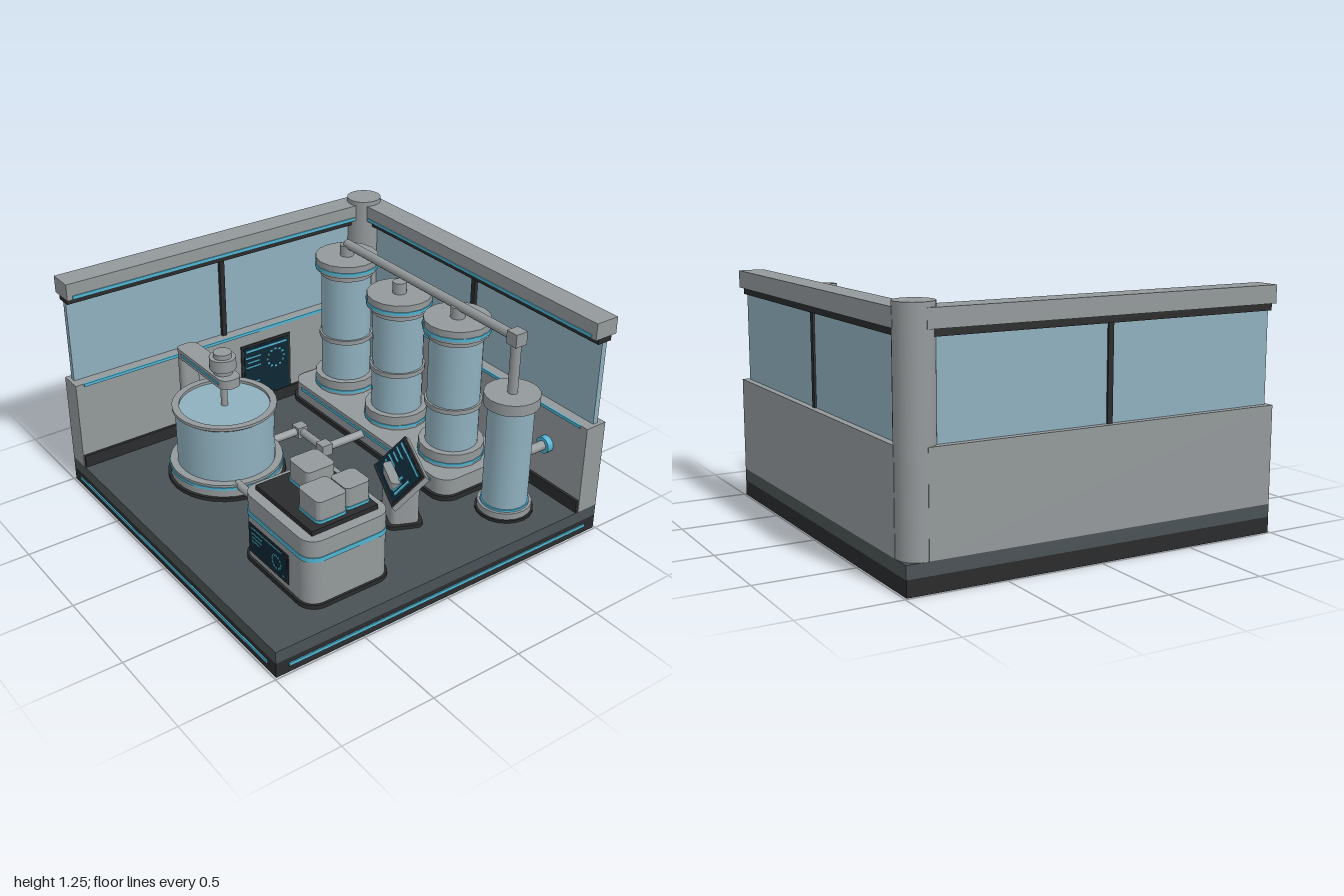
import * as THREE from 'three';
import { toCreasedNormals } from 'three/addons/utils/BufferGeometryUtils.js';

const mat = (name, color, side = THREE.FrontSide) => {
  const m = new THREE.MeshStandardMaterial({ color, side });
  m.name = name;
  return m;
};

export function createModel() {
  const root = new THREE.Group();
  root.name = 'processingRoom';
  const grey = mat('steelGrey', 0x94999b);
  const black = mat('black', 0x2a2b2c);
  const slate = mat('floorSlate', 0x4a5255);
  const cyan = mat('cyanTrim', 0x50b4d2);
  const glass = mat('glassBlue', 0x8fb0be);
  const screenMat = mat('screenNavy', 0x0d2633);

  const group = (name, x = 0, y = 0, z = 0, parent = root) => {
    const g = new THREE.Group();
    g.name = name;
    g.position.set(x, y, z);
    parent.add(g);
    return g;
  };
  const add = (name, geo, m, x, y, z, parent = root) => {
    const mesh = new THREE.Mesh(geo, m);
    mesh.name = name;
    mesh.position.set(x, y, z);
    parent.add(mesh);
    return mesh;
  };
  // box given by its min and max on each axis
  const span = (name, m, x0, x1, y0, y1, z0, z1, parent = root) =>
    add(name, new THREE.BoxGeometry(x1 - x0, y1 - y0, z1 - z0), m, (x0 + x1) / 2, (y0 + y1) / 2, (z0 + z1) / 2, parent);
  // upright cylinder from y0 to y1
  const drum = (name, m, r, y0, y1, parent, x = 0, z = 0, sides = 20) =>
    add(name, new THREE.CylinderGeometry(r, r, y1 - y0, sides), m, x, (y0 + y1) / 2, z, parent);
  // slab with rounded vertical edges
  const slab = (name, m, x, z, w, d, r, y0, y1, parent = root) => {
    const a = w / 2, b = d / 2, s = new THREE.Shape();
    s.absarc(a - r, b - r, r, 0, Math.PI / 2);
    s.absarc(r - a, b - r, r, Math.PI / 2, Math.PI);
    s.absarc(r - a, r - b, r, Math.PI, Math.PI * 1.5);
    s.absarc(a - r, r - b, r, Math.PI * 1.5, Math.PI * 2);
    s.closePath();
    const geo = new THREE.ExtrudeGeometry(s, { depth: y1 - y0, bevelEnabled: false, curveSegments: 6 });
    geo.rotateX(-Math.PI / 2);
    return add(name, toCreasedNormals(geo, 0.6), m, x, y0, z, parent);
  };
  // straight pipe between two points
  const pipe = (name, r, a, b, m = grey) => {
    const p = new THREE.Vector3(...a), q = new THREE.Vector3(...b);
    const mesh = add(name, new THREE.CylinderGeometry(r, r, p.distanceTo(q), 12), m, 0, 0, 0);
    mesh.position.copy(p).add(q).multiplyScalar(0.5);
    mesh.quaternion.setFromUnitVectors(new THREE.Vector3(0, 1, 0), q.sub(p).normalize());
  };
  const elbow = (x, y, z, s = 0.065) => add('pipeElbow', new THREE.BoxGeometry(s, s, s), grey, x, y, z);
  // flat cyan mark on a screen facing +z
  const mark = (g, x, y, w, h) => add('screenMark', new THREE.BoxGeometry(w, h, 0.004), cyan, x, y, 0.006, g);
  const dial = (g, x, y, r) => {
    for (let i = 0; i < 12; i++) {
      const t = (i * Math.PI) / 6;
      mark(g, x + r * Math.cos(t), y + r * Math.sin(t), 0.012, 0.012);
    }
  };

  // base
  span('basePlinth', black, -0.99, 0.99, 0, 0.08, -0.99, 0.99);
  span('floor', slate, -0.99, 0.99, 0.08, 0.145, -0.99, 0.99);
  span('frontLightStrip', cyan, -0.92, 0.92, 0.036, 0.054, 0.988, 0.996);
  span('rightLightStrip', cyan, 0.988, 0.996, 0.036, 0.054, -0.92, 0.92);

  // two walls: built as a back wall, the second turned to the left side
  const makeWall = (name, turned) => {
    const g = group(name);
    const part = (n, m, a0, a1, y0, y1, z0, z1) =>
      turned ? span(n, m, z0, z1, y0, y1, -a1, -a0, g) : span(n, m, a0, a1, y0, y1, z0, z1, g);
    // along the wall: s = -1 flips the run for the turned one
    const run = (n, m, a0, a1, ...rest) => (turned ? part(n, m, -a1, -a0, ...rest) : part(n, m, a0, a1, ...rest));
    run('lowerWall', grey, -0.88, 0.99, 0.145, 0.64, -0.99, -0.865);
    run('skirting', black, -0.86, 0.985, 0.145, 0.215, -0.87, -0.85);
    run('windowGlass', glass, -0.88, 0.97, 0.64, 1.11, -0.955, -0.925);
    run('windowMullion', black, 0.04, 0.068, 0.64, 1.11, -0.965, -0.905);
    run('headerShadowGap', black, -0.88, 0.98, 1.1, 1.135, -0.97, -0.885);
    run('wallHeader', grey, -0.88, 0.99, 1.135, 1.225, -0.99, -0.855);
    run('headerLightStrip', cyan, -0.8, 0.96, 1.14, 1.157, -0.858, -0.849);
    run('sillLightStrip', cyan, -0.78, 0.945, 0.625, 0.642, -0.868, -0.858);
  };
  makeWall('backWall', false);
  makeWall('leftWall', true);
  drum('cornerColumn', grey, 0.095, 0.145, 1.25, root, -0.895, -0.895, 24);

  // wall panel display
  const wallScreen = group('wallScreen', -0.86, 0.38, -0.185);
  wallScreen.rotation.y = Math.PI / 2;
  add('wallScreenPanel', new THREE.BoxGeometry(0.33, 0.36, 0.02), black, 0, 0, -0.008, wallScreen);
  add('wallScreenFace', new THREE.BoxGeometry(0.3, 0.33, 0.006), screenMat, 0, 0, 0.002, wallScreen);
  mark(wallScreen, 0, 0.142, 0.27, 0.012);
  dial(wallScreen, 0.06, 0.055, 0.055);
  [0.1, 0.07, 0.04, -0.06].forEach((y, i) => mark(wallScreen, -0.09, y, 0.1 - 0.02 * (i % 2), 0.009));

  // tank bed
  slab('tankBedFoot', black, -0.165, -0.595, 1.41, 0.51, 0.1, 0.145, 0.172);
  slab('tankBed', grey, -0.165, -0.595, 1.38, 0.48, 0.09, 0.172, 0.265);
  span('tankBedLightStrip', cyan, -0.75, 0.42, 0.228, 0.244, -0.357, -0.348);

  // three tall tanks
  [[-0.64, 1.06], [-0.17, 1.015], [0.3, 1.06]].forEach(([x, top]) => {
    const g = group('tallTank', x, 0, -0.59);
    drum('tankBaseCollar', grey, 0.175, 0.265, 0.345, g, 0, 0, 16);
    drum('tankBaseRing', cyan, 0.18, 0.278, 0.294, g, 0, 0, 16);
    drum('tankGlass', glass, 0.14, 0.345, top - 0.085, g);
    drum('tankMidRing', grey, 0.152, 0.572, 0.598, g);
    drum('tankNeck', grey, 0.15, top - 0.1, top - 0.055, g);
    drum('tankCap', grey, 0.175, top - 0.068, top, g, 0, 0, 16);
    drum('tankCapRing', cyan, 0.18, top - 0.054, top - 0.036, g, 0, 0, 16);
    drum('tankNozzle', grey, 0.038, top, top + 0.062, g);
  });

  // short tank with feed line and wall port
  const small = group('shortTank', 0.73, 0, -0.59);
  drum('shortTankFoot', black, 0.15, 0.145, 0.16, small);
  drum('shortTankBase', grey, 0.14, 0.16, 0.195, small);
  drum('shortTankBaseRing', cyan, 0.125, 0.195, 0.207, small);
  drum('shortTankGlass', glass, 0.118, 0.195, 0.768, small);
  drum('shortTankCap', grey, 0.142, 0.765, 0.825, small);
  pipe('headerPipe', 0.025, [-0.64, 1.125, -0.59], [0.73, 1.125, -0.59]);
  elbow(0.73, 1.125, -0.59, 0.07);
  pipe('dropPipe', 0.027, [0.73, 1.12, -0.59], [0.73, 0.82, -0.59]);
  pipe('wallPortPipe', 0.026, [0.73, 0.43, -0.69], [0.73, 0.43, -0.87]);
  pipe('wallPortFlange', 0.046, [0.73, 0.43, -0.83], [0.73, 0.43, -0.87], cyan);

  // mixing vat
  const vat = group('mixingVat', -0.4, 0, 0.375);
  drum('vatFoot', black, 0.315, 0.145, 0.165, vat, 0, 0, 32);
  drum('vatBase', grey, 0.3, 0.165, 0.235, vat, 0, 0, 32);
  drum('vatBaseRing', cyan, 0.305, 0.207, 0.222, vat, 0, 0, 32);
  drum('vatGlass', glass, 0.26, 0.235, 0.545, vat, 0, 0, 32);
  const rim = [[0.238, 0.54], [0.262, 0.535], [0.275, 0.545], [0.275, 0.56], [0.238, 0.56], [0.238, 0.54]]
    .map(([r, y]) => new THREE.Vector2(r, y));
  add('vatRim', toCreasedNormals(new THREE.LatheGeometry(rim, 32), 0.5), grey, 0, 0, 0, vat);
  // stirrer on its bracket
  slab('stirrerPost', grey, -0.36, 0, 0.06, 0.11, 0.025, 0.145, 0.735, vat);
  slab('stirrerArm', grey, -0.145, 0, 0.49, 0.12, 0.05, 0.685, 0.737, vat);
  for (const z of [-0.061, 0.061]) add('armLightStrip', new THREE.BoxGeometry(0.38, 0.014, 0.006), cyan, -0.14, 0.712, z, vat);
  drum('stirrerShaft', grey, 0.018, 0.5, 0.69, vat);
  drum('motorNeck', grey, 0.05, 0.737, 0.77, vat);
  drum('motorBody', grey, 0.07, 0.765, 0.83, vat);
  drum('motorCap', grey, 0.048, 0.83, 0.856, vat);

  // floor pipes
  const py = 0.22;
  pipe('tankOutletPipe', 0.023, [-0.17, py, -0.37], [-0.17, py, -0.1]);
  elbow(-0.17, py, -0.1);
  pipe('crossPipe', 0.023, [-0.17, py, -0.1], [-0.4, py, -0.1]);
  elbow(-0.4, py, -0.1);
  pipe('vatInletPipe', 0.023, [-0.4, py, -0.1], [-0.4, py, 0.13]);
  pipe('vatOutletPipe', 0.023, [-0.15, py, 0.465], [0.3, py, 0.465]);

  // control cabinet
  const cab = group('controlCabinet', 0.565, 0, 0.47);
  slab('cabinetFoot', black, 0, 0, 0.59, 0.5, 0.095, 0.145, 0.168, cab);
  slab('cabinetBody', grey, 0, 0, 0.565, 0.475, 0.08, 0.168, 0.52, cab);
  slab('cabinetBand', cyan, 0, 0, 0.573, 0.483, 0.083, 0.405, 0.43, cab);
  span('cabinetTopPanel', black, -0.235, 0.23, 0.52, 0.545, -0.19, 0.185, cab);
  [[-0.107, -0.052, 0.165, 0.165], [0.117, -0.11, 0.14, 0.14], [0.117, 0.047, 0.17, 0.165]].forEach(([x, z, w, d]) => {
    slab('moduleTrim', cyan, x, z, w + 0.008, d + 0.008, 0.03, 0.545, 0.56, cab);
    slab('moduleBlock', grey, x, z, w, d, 0.027, 0.555, 0.66, cab);
  });
  const cabScreen = group('cabinetScreen', -0.05, 0.283, 0.238, cab);
  add('cabinetScreenFrame', new THREE.BoxGeometry(0.335, 0.168, 0.008), black, 0, 0, 0, cabScreen);
  add('cabinetScreenFace', new THREE.BoxGeometry(0.315, 0.148, 0.004), screenMat, 0, 0, 0.003, cabScreen);
  mark(cabScreen, -0.015, 0.066, 0.26, 0.008);
  [[0.09, 0.037], [0.09, 0.015], [0.065, -0.007]].forEach(([w, y]) => mark(cabScreen, -0.14 + w / 2, y, w, 0.008));
  dial(cabScreen, 0.07, -0.008, 0.036);
  mark(cabScreen, 0.13, -0.056, 0.016, 0.008);

  // tilted display kiosk
  const kiosk = group('displayKiosk', 0.48, 0, -0.11);
  kiosk.rotation.y = -0.42;
  slab('kioskFoot', black, 0, 0, 0.25, 0.19, 0.04, 0.145, 0.165, kiosk);
  slab('kioskPedestal', grey, 0, 0, 0.21, 0.15, 0.03, 0.165, 0.41, kiosk);
  const head = group('kioskHead', 0, 0.415, 0.015, kiosk);
  head.rotation.x = -0.8;
  add('kioskHousing', new THREE.BoxGeometry(0.39, 0.23, 0.03), grey, 0, 0, -0.018, head);
  add('kioskBezel', new THREE.BoxGeometry(0.38, 0.22, 0.008), black, 0, 0, -0.002, head);
  add('kioskScreenFace', new THREE.BoxGeometry(0.355, 0.195, 0.006), screenMat, 0, 0, 0.001, head);
  mark(head, 0, 0.082, 0.32, 0.01);
  [0.05, 0.022, -0.006, -0.034].forEach((y, i) => mark(head, -0.1, y, 0.12 - 0.03 * (i % 2), 0.009));
  [0.05, 0.08, 0.06, 0.1].forEach((h, i) => mark(head, 0.04 + i * 0.032, -0.07 + h / 2, 0.02, h));

  return root;
}
